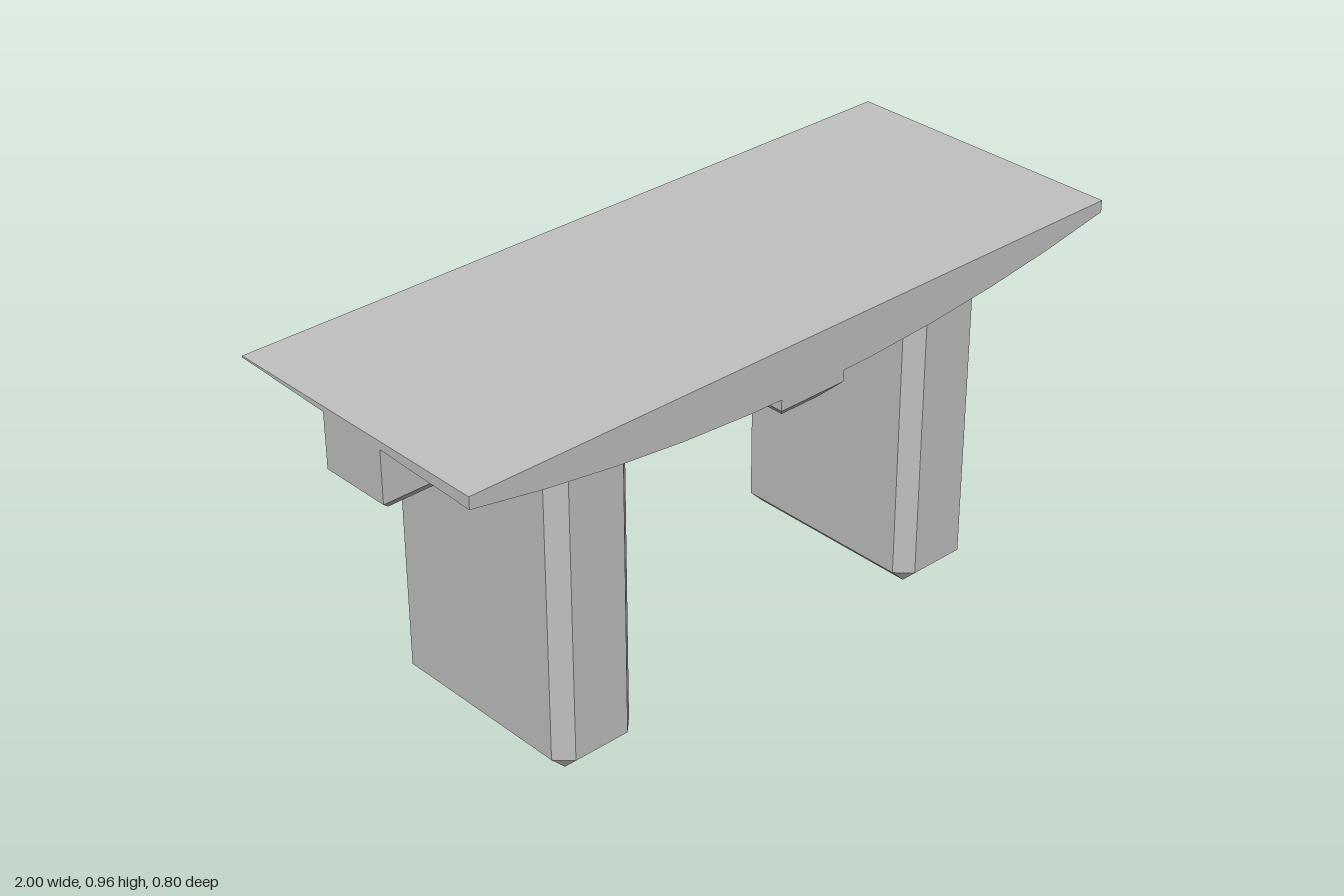
import * as THREE from 'three';
import { ConvexGeometry } from 'three/addons/geometries/ConvexGeometry.js';

const CHAMFER = 0.04;
const SIGNS = [-1, 1];

// Slab with a flat top and a bowed underside that rises slightly to the back
function topGeometry() {
  const topY = 0.96, steps = 10, depth = 0.8;
  const shape = new THREE.Shape();
  shape.moveTo(1, topY);
  shape.lineTo(-1, topY);
  for (let i = 0; i <= steps; i++) {
    const x = -1 + (2 * i) / steps;
    shape.lineTo(x, 0.842 + 0.1 * x * x);
  }
  shape.closePath();
  const geo = new THREE.ExtrudeGeometry(shape, { depth, bevelEnabled: false });
  geo.translate(0, 0, -depth / 2);
  const p = geo.attributes.position;
  for (let i = 0; i < p.count; i++) {
    if (p.getY(i) < topY - 0.001) p.setY(i, p.getY(i) - 0.035 * p.getZ(i));
  }
  geo.computeVertexNormals();
  return geo;
}

// Beam with square sides and a chamfer around its bottom face
function beamGeometry(halfX, halfZ) {
  const pts = [];
  for (const sx of SIGNS) for (const sz of SIGNS) {
    pts.push(
      new THREE.Vector3(sx * halfX, 0.95, sz * halfZ),
      new THREE.Vector3(sx * halfX, 0.8, sz * halfZ),
      new THREE.Vector3(sx * (halfX - CHAMFER), 0.76, sz * (halfZ - CHAMFER)),
    );
  }
  return new ConvexGeometry(pts);
}

// Slab leg with chamfered upright edges and foot; its top is buried in the slab
function legGeometry(halfX, halfZ) {
  const pts = [];
  const inX = halfX - CHAMFER, inZ = halfZ - CHAMFER;
  for (const sx of SIGNS) for (const sz of SIGNS) {
    for (const y of [CHAMFER, 0.92]) {
      pts.push(
        new THREE.Vector3(sx * halfX, y, sz * inZ),
        new THREE.Vector3(sx * inX, y, sz * halfZ),
      );
    }
    pts.push(new THREE.Vector3(sx * inX, 0, sz * inZ));
  }
  return new ConvexGeometry(pts);
}

export function createModel() {
  const stone = new THREE.MeshStandardMaterial({ color: 0xc0c0c0 });
  stone.name = 'stoneGrey';

  const table = new THREE.Group();
  table.name = 'table';
  const add = (name, geo, x = 0) => {
    const mesh = new THREE.Mesh(geo, stone);
    mesh.name = name;
    mesh.position.x = x;
    table.add(mesh);
  };

  add('tableTop', topGeometry());

  // Crossed beams under the top
  add('longBeam', beamGeometry(1, 0.1));
  add('crossBeam', beamGeometry(0.1, 0.4));

  // Pair of legs
  const leg = legGeometry(0.12, 0.3);
  add('leftLeg', leg, 0.57);
  add('rightLeg', leg, -0.57);

  return table;
}
